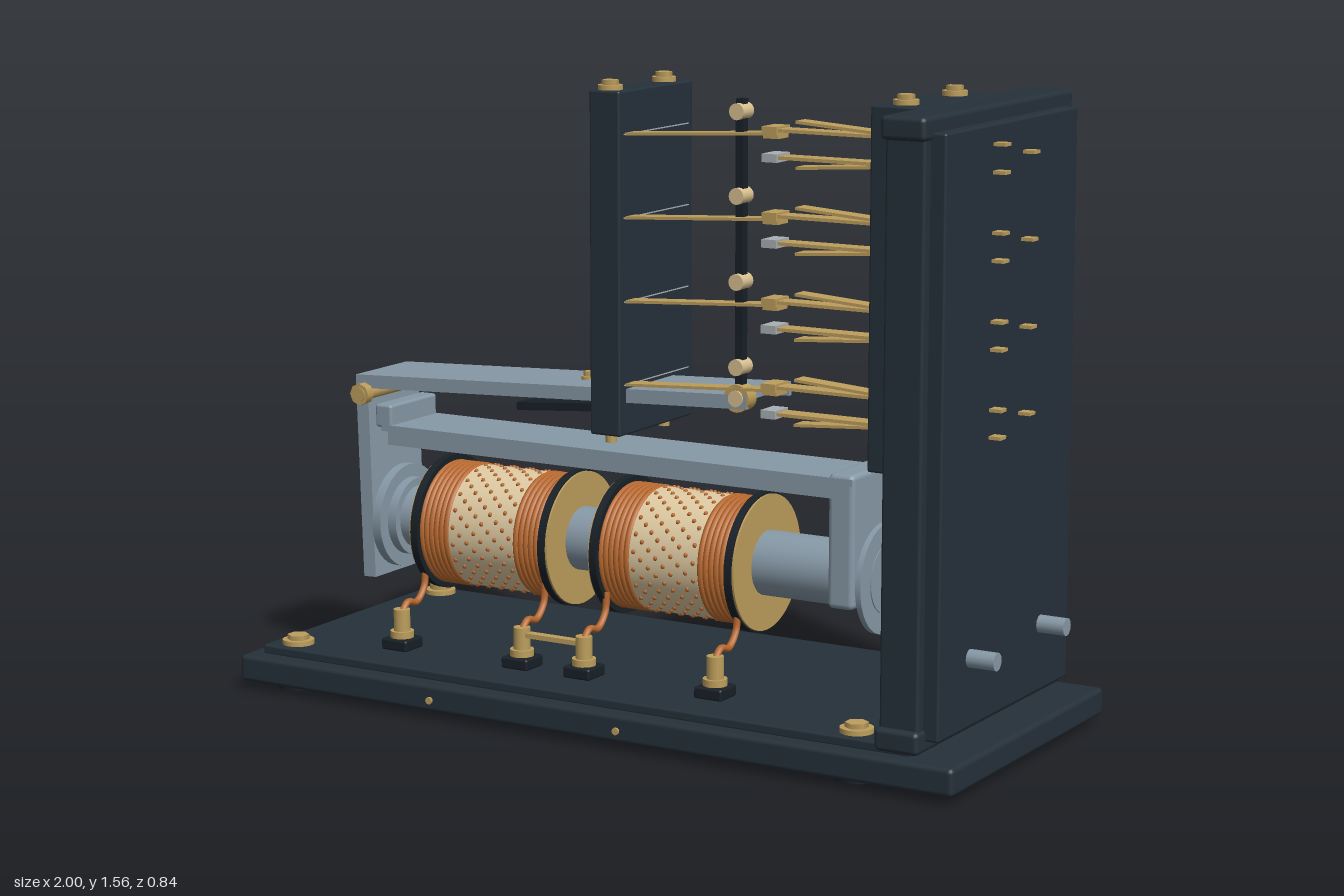
import * as THREE from 'three';
import { mergeGeometries } from 'three/addons/utils/BufferGeometryUtils.js';
import { RoundedBoxGeometry } from 'three/addons/geometries/RoundedBoxGeometry.js';

const mat = (name, color) => Object.assign(new THREE.MeshStandardMaterial({ color }), { name });

export function createModel() {
  const root = new THREE.Group();
  root.name = 'relay';
  const slate = mat('slate', 0x25313a);
  const black = mat('black', 0x182027);
  const steel = mat('steel', 0x8799a7);
  const brass = mat('brass', 0xbd9e5c);
  const contact = mat('pale contact', 0xd8bf90);
  const copper = mat('copper', 0xb9692e);
  const cloth = mat('cloth', 0xdfcba3);
  const silver = mat('silver', 0xa9b0b4);

  const add = (name, geo, material, x = 0, y = 0, z = 0, parent = root) => {
    const m = new THREE.Mesh(geo, material);
    m.name = name;
    m.position.set(x, y, z);
    parent.add(m);
    return m;
  };
  // Box given by its limits on each axis, rounded when r > 0
  const box = (name, material, [x0, x1], [y0, y1], [z0, z1], r = 0, parent = root) => {
    const s = [x1 - x0, y1 - y0, z1 - z0];
    const g = r ? new RoundedBoxGeometry(...s, 2, r) : new THREE.BoxGeometry(...s);
    return add(name, g, material, (x0 + x1) / 2, (y0 + y1) / 2, (z0 + z1) / 2, parent);
  };
  // Cylinder along an axis, centred on a point
  const cyl = (name, material, axis, r, len, x, y, z, sides = 32, parent = root) => {
    const g = new THREE.CylinderGeometry(r, r, len, sides);
    if (axis === 'x') g.rotateZ(-Math.PI / 2);
    if (axis === 'z') g.rotateX(Math.PI / 2);
    return add(name, g, material, x, y, z, parent);
  };
  // Flat strip between two points in the xy plane
  const strip = (name, material, a, b, thick, z, width) => {
    const dx = b[0] - a[0], dy = b[1] - a[1];
    const m = add(name, new THREE.BoxGeometry(Math.hypot(dx, dy), thick, width), material,
      (a[0] + b[0]) / 2, (a[1] + b[1]) / 2, z);
    m.rotation.z = Math.atan2(dy, dx);
    return m;
  };
  const screw = (name, x, y, z, r) => {
    cyl(name + 'Washer', brass, 'y', r, 0.012, x, y + 0.006, z);
    cyl(name + 'Head', brass, 'y', r * 0.7, 0.014, x, y + 0.017, z, 6);
  };

  // Base, feet and corner screws
  box('base', slate, [-1, 1], [0.02, 0.088], [-0.415, 0.415], 0.012);
  box('baseTop', slate, [-0.96, 0.87], [0.085, 0.11], [-0.375, 0.37], 0.006);
  for (const x of [-0.89, 0.705]) for (const z of [-0.32, 0.315]) {
    cyl('foot', black, 'y', 0.053, 0.024, x, 0.012, z);
    screw('baseScrew', x, 0.11, z, 0.04);
  }
  for (const x of [-0.42, 0.115]) cyl('frontPin', brass, 'z', 0.009, 0.012, x, 0.05, 0.415, 12);

  // Upright panel with end caps, cover plate and rear pins
  box('panel', slate, [0.792, 0.892], [0.1, 1.54], [-0.375, 0.375], 0.008);
  for (const y of [[0.095, 0.15], [1.49, 1.545]])
    box('panelCap', slate, [0.785, 0.898], y, [-0.39, 0.39], 0.012);
  box('coverPlate', slate, [0.885, 0.93], [0.122, 1.508], [-0.348, 0.348], 0.006);
  for (const z of [-0.19, 0.19]) cyl('rearPin', steel, 'x', 0.022, 0.09, 0.955, 0.287, z, 12);

  // Two contact blocks
  const levels = [1.43, 1.228, 1.024, 0.82];
  const contactBlock = (name, x, y, z) => {
    box(name, slate, x, y, z, 0.006);
    const cx = (x[0] + x[1]) / 2;
    for (const sz of [-0.145, 0.105]) {
      screw(name + 'Screw', cx, y[1], sz, 0.03);
      cyl(name + 'Bolt', brass, 'y', 0.014, 0.02, cx, y[0] - 0.01, sz, 12);
    }
    for (const l of levels)
      box(name + 'Seam', silver, [x[0] - 0.001, x[1] + 0.001], [l - 0.0015, l + 0.0015],
        [z[0] + 0.02, z[1] - 0.02]);
  };
  contactBlock('movingBlock', [-0.13, -0.045], [0.695, 1.535], [-0.212, 0.135]);
  contactBlock('fixedBlock', [0.64, 0.772], [0.685, 1.54], [-0.225, 0.155]);
  box('blockSpacer', black, [0.77, 0.795], [0.72, 1.5], [-0.19, 0.12]);

  // Contact springs and their tails
  const sz = 0.085;
  for (const y of levels) {
    strip('movingSpring', brass, [-0.05, y], [0.37, y + 0.024], 0.007, sz, 0.045);
    box('movingTip', brass, [0.335, 0.375], [y + 0.012, y + 0.034], [sz - 0.025, sz + 0.025]);
    for (const [d, s] of [[0.032, 1], [-0.032, -1]]) {
      strip('fixedSpring', brass, [0.335, y + d], [0.65, y + d], 0.008, sz, 0.05);
      strip('backingSpring', brass, [0.42, y + d + s * 0.022], [0.65, y + d + s * 0.006], 0.007, sz, 0.045);
      box('fixedTip', s > 0 ? brass : silver, [0.335, 0.375], [y + d - 0.011, y + d + 0.009],
        [sz - 0.032, sz + 0.032]);
      box('springTail', brass, [0.76, 0.96], [y + d - 0.004, y + d + 0.004], [0.08, 0.11]);
    }
    box('movingTail', brass, [0.76, 0.96], [y - 0.004, y + 0.004], [-0.075, -0.045]);
  }

  // Vertical push rod with clamps at each level
  box('pushRod', black, [0.252, 0.272], [0.8, 1.53], [0.07, 0.094]);
  for (const y of [1.5, 1.3, 1.095, 0.89])
    cyl('rodClamp', contact, 'z', 0.02, 0.05, 0.262, y, 0.084, 16);
  cyl('rodPivot', brass, 'z', 0.034, 0.04, 0.262, 0.815, 0.085, 24);
  cyl('rodPivotCap', contact, 'z', 0.02, 0.05, 0.262, 0.815, 0.085, 16);

  // Armature: a shallow channel that tilts up, with its hinge leg
  const zA = [-0.118, 0.106];
  const arm = new THREE.Group();
  arm.name = 'armature';
  arm.position.set(-0.85, 0.773, 0);
  arm.rotation.z = 0.046;
  root.add(arm);
  box('armaturePlate', steel, [0, 1.14], [-0.014, 0], zA, 0, arm);
  for (const z of [[zA[0], zA[0] + 0.012], [zA[1] - 0.012, zA[1]]])
    box('armatureFlange', steel, [0, 1.14], [-0.034, -0.002], z, 0, arm);
  screw('armatureScrew', -0.22, 0.798, -0.005, 0.019);
  strip('armatureLeg', steel, [-0.832, 0.765], [-0.815, 0.25], 0.036, -0.006, 0.224);
  strip('stopPlate', black, [-0.37, 0.735], [-0.12, 0.755], 0.02, -0.006, 0.2);
  cyl('hingePin', brass, 'z', 0.018, 0.285, -0.82, 0.728, -0.005, 16);
  for (const z of [-0.135, 0.122]) cyl('hingeNut', brass, 'z', 0.028, 0.025, -0.82, 0.728, z, 8);

  // Yoke: bar with side flanges, hinge step and end leg
  const zY = [-0.11, 0.095];
  box('yokeTop', steel, [-0.78, 0.57], [0.632, 0.648], zY);
  for (const z of [[zY[0], zY[0] + 0.02], [zY[1] - 0.02, zY[1]]])
    box('yokeFlange', steel, [-0.76, 0.52], [0.598, 0.647], z);
  box('yokeStep', steel, [-0.8, -0.75], [0.64, 0.7], zY, 0.008);
  box('yokeLeg', steel, [0.505, 0.575], [0.33, 0.658], zY, 0.014);

  // Core and pole discs
  const cy = 0.395, cz = -0.012;
  cyl('core', steel, 'x', 0.08, 1.37, -0.125, cy, cz, 40);
  cyl('poleDisc', steel, 'x', 0.133, 0.025, -0.782, cy, cz, 48);
  cyl('poleBoss', steel, 'x', 0.1, 0.03, -0.76, cy, cz, 40);
  cyl('endBoss', steel, 'x', 0.085, 0.045, 0.59, cy, cz, 40);
  cyl('endDisc', steel, 'x', 0.135, 0.014, 0.603, cy, cz, 48);

  // Coils: flanges, cloth winding with wire spots, copper bands
  const coil = (cx) => {
    const g = new THREE.Group();
    g.name = 'coil';
    g.position.set(cx, cy, cz);
    root.add(g);
    for (const s of [-1, 1]) {
      cyl('flange', black, 'x', 0.172, 0.02, s * 0.19, 0, 0, 48, g);
      cyl('flangeFace', brass, 'x', 0.168, 0.006, s * 0.202, 0, 0, 48, g);
      const rings = [];
      for (let i = 0; i < 6; i++) {
        const t = new THREE.TorusGeometry(0.15, 0.0085, 8, 48);
        t.rotateY(Math.PI / 2);
        t.translate(s * (0.104 + i * 0.0148), 0, 0);
        rings.push(t);
      }
      add('copperBand', mergeGeometries(rings), copper, 0, 0, 0, g);
      cyl('bandCore', copper, 'x', 0.15, 0.085, s * 0.138, 0, 0, 48, g);
    }
    cyl('clothWinding', cloth, 'x', 0.154, 0.192, 0, 0, 0, 48, g);
    const spots = [];
    for (let i = 0; i < 9; i++) for (let j = 0; j < 22; j++) {
      const a = (j + i * 0.4) / 22 * Math.PI * 2;
      const s = new THREE.SphereGeometry(0.0065, 6, 4);
      s.translate((i - 4) * 0.021, 0.153 * Math.cos(a), 0.153 * Math.sin(a));
      spots.push(s);
    }
    add('wireSpots', mergeGeometries(spots), copper, 0, 0, 0, g);
  };
  coil(-0.45);
  coil(0.08);

  // Terminals with lead wires and a linking bar
  for (const x of [-0.64, -0.28, -0.1, 0.27]) {
    const tz = 0.215;
    box('terminalBase', black, [x - 0.038, x + 0.038], [0.108, 0.138], [tz - 0.038, tz + 0.038], 0.006);
    cyl('terminalNut', brass, 'y', 0.03, 0.02, x, 0.145, tz, 16);
    cyl('terminalPost', brass, 'y', 0.021, 0.07, x, 0.175, tz, 16);
    const path = new THREE.CatmullRomCurve3([[0.2, tz], [0.222, 0.19], [0.215, 0.15], [0.25, 0.115], [0.3, 0.11]]
      .map(([y, z]) => new THREE.Vector3(x, y, z)));
    add('leadWire', new THREE.TubeGeometry(path, 20, 0.009, 8), copper);
  }
  box('linkBar', brass, [-0.28, -0.1], [0.186, 0.198], [0.203, 0.227]);

  return root;
}
